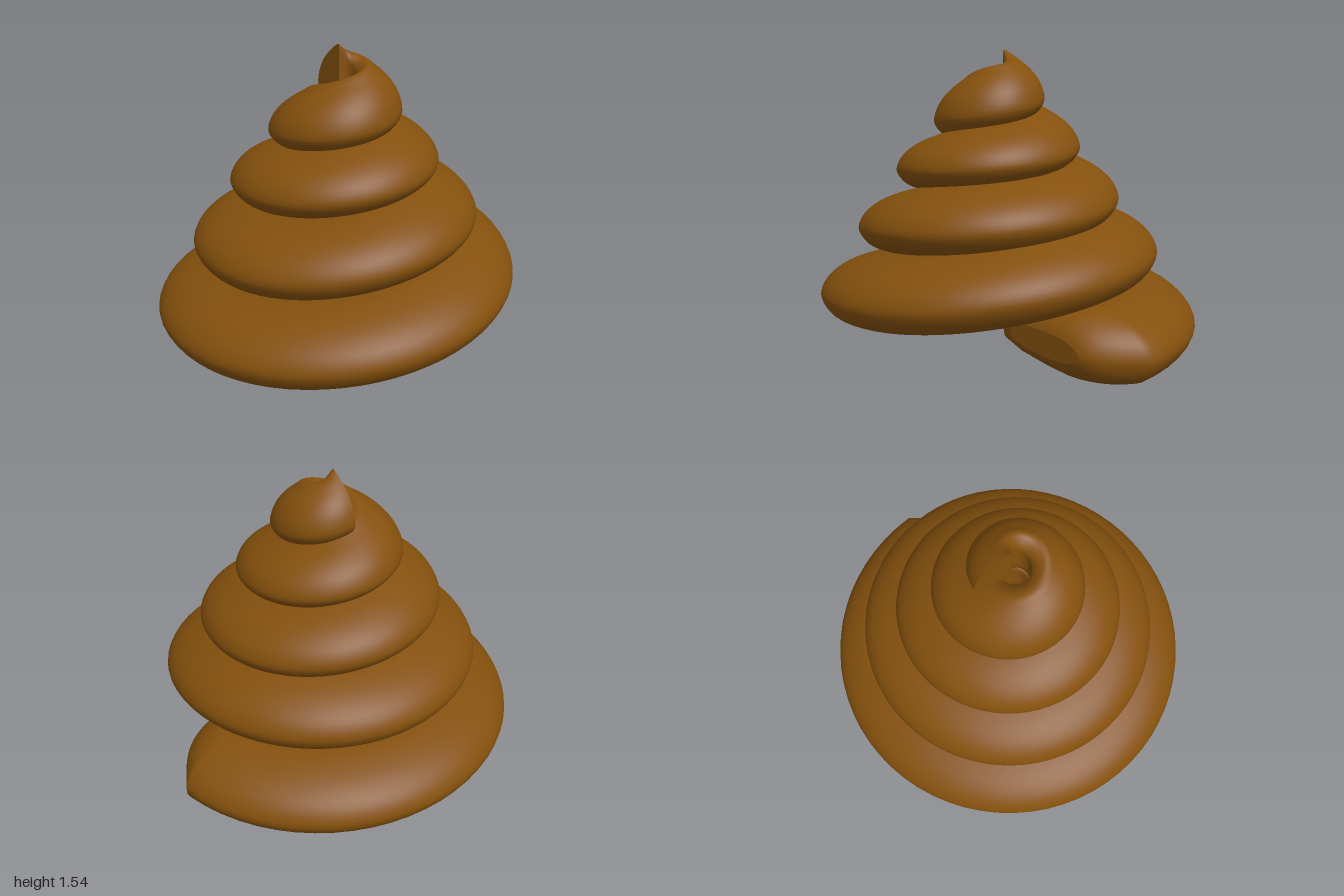
import * as THREE from 'three';

const CX = -0.05, CZ = 0.05;   // spiral axis
const T_END = 4.215;           // number of turns
const TAIL = 0.23;             // how far the rounded tail end bulges forward
const RING = 40;

// Height of the coil's outermost edge at every quarter turn
const EDGE = [0.16, 0.19, 0.23, 0.36, 0.505, 0.54, 0.57, 0.685, 0.76, 0.838,
  0.888, 0.962, 1.02, 1.088, 1.144, 1.205, 1.267, 1.322];
// Cross-section rows: distance in from the edge, its limit as a share of the width, height
const TOP = [[0.02, 0.06, 0.055], [0.06, 0.18, 0.1], [0.12, 0.35, 0.14], [0.2, 0.55, 0.173], [0.32, 0.75, 0.2]];
const BOTTOM = [[0.38, 0.75, -0.16], [0.2, 0.55, -0.15], [0.12, 0.35, -0.13], [0.06, 0.18, -0.1], [0.02, 0.06, -0.055]];

const { lerp, clamp, smoothstep } = THREE.MathUtils;

function edgeHeight(t) {
  const q = clamp(t * 4, 0, EDGE.length - 1.001);
  const i = Math.floor(q), f = q - i;
  const at = (k) => EDGE[clamp(k, 0, EDGE.length - 1)];
  const [a, b, c, d] = [at(i - 1), at(i), at(i + 1), at(i + 2)];
  return b + 0.5 * f * (c - a + f * (2 * a - 5 * b + 4 * c - d + f * (3 * (b - c) + d - a)));
}

// Leaf-shaped section from the thin hub to the rounded outer edge, as (radius, height)
function section(t) {
  const spike = smoothstep(t, 3.75, T_END);          // pointed tip
  const R = 1.048 - 0.2 * t + 0.017 * smoothstep(t, 3.5, 4);
  const hub = lerp(0.066, 0.036, spike);
  const hubTop = lerp(0.18, 0.22, spike);
  const shoulder = 1 + 0.16 * smoothstep(t, 2.8, 3.5) * (1 - spike);
  const under = lerp(1, 0.6, clamp((t - 1) / 3, 0, 1));
  const w = R - hub;
  const row = ([d, share, h], k) => new THREE.Vector3(R - Math.min(d, w * share), h * k, 0);
  const pts = [
    new THREE.Vector3(R, 0, 0),
    ...TOP.map((p) => row(p, shoulder)),
    new THREE.Vector3(hub, hubTop, 0),
    new THREE.Vector3(hub, hubTop / 2, 0),
    new THREE.Vector3(hub, -0.04, 0),
    ...BOTTOM.map((p) => row(p, under)),
  ];
  const curve = new THREE.CatmullRomCurve3(pts, true, 'centripetal');
  const y0 = edgeHeight(t);
  return Array.from({ length: RING }, (_, i) => {
    const p = curve.getPoint(i / RING);
    return [Math.max(p.x, hub * 0.97), y0 + p.y];
  });
}

function place(t, [r, y]) {
  const a = t * Math.PI * 2;
  return [CX + r * Math.cos(a), y, CZ - r * Math.sin(a)];
}

// Rings of the tail end bulge forward and shrink to a blunt nose, the others follow the spiral
function makeRings() {
  const rings = [];
  const first = section(0);
  for (let k = 10; k > 0; k--) {
    const angle = (k / 10) * 1.4;
    const wide = 1 - 0.55 * (k / 10), tall = 0.2 + 0.8 * Math.cos(angle);
    rings.push(first.map(([r, y]) => [
      CX + 0.58 + (r - 0.58) * wide, 0.18 + (y - 0.18) * tall, CZ + TAIL * Math.sin(angle)]));
  }
  const steps = 280;
  for (let j = 0; j <= steps; j++) {
    const t = (j / steps) * T_END;
    rings.push(section(t).map((p) => place(t, p)));
  }
  return rings;
}

function coilGeometry(rings) {
  const index = [];
  for (let j = 0; j < rings.length - 1; j++) {
    for (let i = 0; i < RING; i++) {
      const n = (i + 1) % RING;
      const a = j * RING + i, b = j * RING + n;
      index.push(a, a + RING, b, b, a + RING, b + RING);
    }
  }
  const g = new THREE.BufferGeometry();
  g.setAttribute('position', new THREE.Float32BufferAttribute(rings.flat(2), 3));
  g.setIndex(index);
  g.computeVertexNormals();
  return g;
}

// Flat end face: a fan around the ring's average point
function capGeometry(ring, atEnd) {
  const mid = [0, 1, 2].map((k) => ring.reduce((s, p) => s + p[k], 0) / RING);
  const index = [];
  for (let i = 0; i < RING; i++) {
    const n = (i + 1) % RING;
    index.push(RING, atEnd ? n : i, atEnd ? i : n);
  }
  const g = new THREE.BufferGeometry();
  g.setAttribute('position', new THREE.Float32BufferAttribute([...ring, mid].flat(), 3));
  g.setIndex(index);
  g.computeVertexNormals();
  return g;
}

export function createModel() {
  const brown = new THREE.MeshStandardMaterial({ color: 0x84500d });
  brown.name = 'brown';
  const group = new THREE.Group();
  group.name = 'spiralSwirl';
  const add = (name, geometry) => {
    const mesh = new THREE.Mesh(geometry, brown);
    mesh.name = name;
    group.add(mesh);
  };
  const rings = makeRings();
  add('coil', coilGeometry(rings));
  add('tailEnd', capGeometry(rings[0], false));
  add('tipEnd', capGeometry(rings[rings.length - 1], true));
  return group;
}
